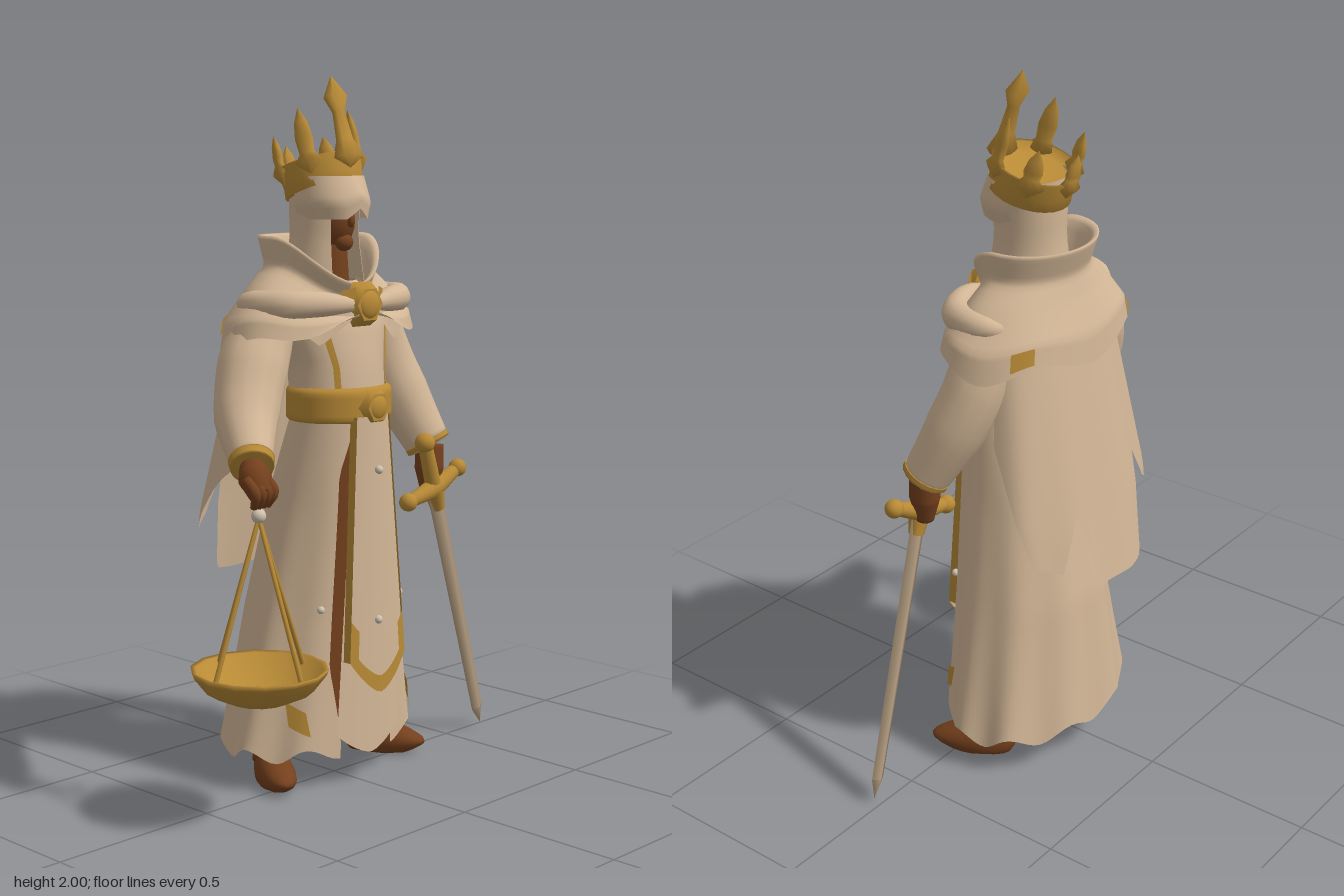
import * as THREE from 'three';
import { mergeVertices } from 'three/addons/utils/BufferGeometryUtils.js';

const mat = (name, color) => {
  const m = new THREE.MeshStandardMaterial({ color, side: THREE.DoubleSide });
  m.name = name;
  return m;
};
const CZ = -0.025; // body's sideways centre
const { sin, cos, abs, PI, max, min } = Math;
const clamp = THREE.MathUtils.clamp;

// Smooth surface from a function of (u, v)
function sheet(f, nu = 24, nv = 12) {
  const pos = [], idx = [];
  for (let j = 0; j <= nv; j++) for (let i = 0; i <= nu; i++) pos.push(...f(i / nu, j / nv));
  for (let j = 0; j < nv; j++) for (let i = 0; i < nu; i++) {
    const a = j * (nu + 1) + i, b = a + nu + 1;
    idx.push(a, b, a + 1, a + 1, b, b + 1);
  }
  const g = new THREE.BufferGeometry();
  g.setAttribute('position', new THREE.Float32BufferAttribute(pos, 3));
  g.setIndex(idx);
  const m = mergeVertices(g, 1e-4);
  m.computeVertexNormals();
  return m;
}

// Interpolates rows [key, a, b, ...] at a key
function at(rows, k) {
  let i = 0;
  while (i < rows.length - 2 && k > rows[i + 1][0]) i++;
  const p = rows[i], q = rows[i + 1];
  const t = clamp((k - p[0]) / (q[0] - p[0]), 0, 1);
  return p.slice(1).map((x, n) => x + (q[n + 1] - x) * t);
}

// Capped tube through points with varying radius
function limb(points, radii, sides = 14, steps = 18) {
  const c = new THREE.CatmullRomCurve3(points.map(p => new THREE.Vector3(...p)));
  const fr = c.computeFrenetFrames(steps, false);
  const rr = radii.map((r, i) => [i / (radii.length - 1), r]);
  return sheet((u, v) => {
    const k = Math.round(v * (steps + 2)), s = clamp(k - 1, 0, steps);
    const r = k === 0 || k === steps + 2 ? 0 : at(rr, s / steps)[0];
    return c.getPoint(s / steps)
      .addScaledVector(fr.normals[s], r * cos(u * 2 * PI))
      .addScaledVector(fr.binormals[s], r * sin(u * 2 * PI)).toArray();
  }, sides, steps + 2);
}

// Robe skirt: rows of height, centre x, depth radius, width radius
const SKIRT = [[0.1, -0.095, 0.215, 0.32], [0.5, -0.075, 0.2, 0.24], [0.8, -0.045, 0.175, 0.185], [1.08, 0, 0.122, 0.145]];
function skirtPoint(a, y, off = 0) {
  const [cx, rx, rz] = at(SKIRT, y);
  const f = 1 + 0.035 * cos(9 * a) * max(0, 1 - y);
  return [cx + (rx * f + off) * cos(a), y, CZ + (rz * f + off) * sin(a)];
}
const tabardHalf = y => 0.12 - 0.055 * (y - 0.27) / 0.8;

// Shoulder mantle and collar: rows of position, height, depth radius, width radius
const MANTLE = [[0, 1.26, 0.2, 0.335], [0.18, 1.33, 0.192, 0.32], [0.4, 1.42, 0.15, 0.24], [0.55, 1.475, 0.13, 0.175],
  [0.78, 1.56, 0.16, 0.188], [0.85, 1.555, 0.142, 0.165], [1, 1.45, 0.115, 0.12]];
function mantlePoint(a, v, off = 0) {
  const [y, rx, rz] = at(MANTLE, v), front = max(0, cos(a)) ** 2;
  const lobe = (1 - v) ** 4 * (0.07 * front + 0.02 * cos(5 * a));
  return [-0.085 + (rx + off) * cos(a), y + lobe - 0.13 * front * min(1, v * 1.3), CZ + (rz + off) * sin(a)];
}

export function createModel() {
  const root = new THREE.Group();
  const cream = mat('creamCloth', 0xd2b696), gold = mat('gold', 0xb88a36);
  const brown = mat('brownLeather', 0x74401d), steel = mat('blade', 0xb79f82), pale = mat('paleStud', 0xcfc3ae);
  const add = (name, geo, m, p, parent = root) => {
    const o = new THREE.Mesh(geo, m);
    o.name = name;
    if (p) o.position.set(...p);
    parent.add(o);
    return o;
  };
  const ball = (name, r, m, p, s = [1, 1, 1], parent = root) => {
    const o = add(name, new THREE.SphereGeometry(r, 18, 12), m, p, parent);
    o.scale.set(...s);
    return o;
  };

  // Skirt with one open front slit closing near the hem, and a closed lining
  add('skirt', sheet((u, v) => {
    const y = 0.1 + 0.98 * v, rz = at(SKIRT, y)[2], gap = 0.025 * clamp((y - 0.25) / 0.1, -1, 1) * clamp((1 - y) / 0.1, -1, 1);
    const a0 = Math.asin((tabardHalf(y) + gap) / rz), a1 = 2 * PI - Math.asin((tabardHalf(y) - 0.02) / rz);
    const a = a0 + u * (a1 - a0), p = skirtPoint(a, y);
    p[1] += (1 - v) ** 6 * 0.02 * cos(9 * a);
    return p;
  }, 80, 30), cream);
  add('skirtLining', sheet((u, v) => skirtPoint(u * 2 * PI, 0.13 + 0.91 * v, -0.014), 60, 14), brown);
  for (const s of [1, -1]) {
    add('hemPatch', sheet((u, v) => skirtPoint(s * (0.68 + 0.26 * u + 0.08 * v), 0.16 + 0.07 * v + 0.03 * u, 0.007), 8, 4), gold);
    ball('stud', 0.011, pale, skirtPoint(s * 0.72, 0.52, 0.005));
  }

  // Layered front panels with gold border
  const panel = (y0, half, x0, rise) => (u, v) => {
    const k = 2 * u - 1, b = y0 + rise * abs(k) ** 1.5, y = b + (1.06 - b) * v;
    return [x0 + 0.02 * (1 - v) - 0.014 * k * k, y, CZ + 0.005 + k * half(y)];
  };
  const tab = panel(0.27, tabardHalf, 0.143, 0.1);
  add('frontPanel', sheet(tab, 16, 16), cream);
  add('underPanel', sheet(panel(0.085, y => 0.135 - 0.1 * (y - 0.085), 0.112, 0.07), 16, 16), cream);
  const trim = (u0, u1, v0, v1) => add('panelTrim', sheet((u, v) => {
    const p = tab(u0 + (u1 - u0) * u, v0 + (v1 - v0) * v);
    p[0] += 0.006;
    return p;
  }, 16, 8), gold);
  trim(0, 1, 0, 0.06);
  trim(0, 0.13, 0.05, 0.17);
  trim(0.87, 1, 0.05, 0.17);
  for (const side of [0, 1]) add('panelEdge', sheet((u, v) => {
    const p = tab(side, v);
    p[0] += 0.006 - 0.026 * u;
    return p;
  }, 1, 12), gold);
  for (const y of [0.48, 0.91]) ball('stud', 0.012, pale, [0.16, y, -0.017]);

  // Torso, chest stripes, belt and buckle
  const TORSO = [[1.0, 0, 0.125, 0.145], [1.2, -0.02, 0.125, 0.15], [1.34, -0.05, 0.125, 0.2], [1.43, -0.07, 0.08, 0.11]];
  const torso = (a, y, off = 0) => {
    const [cx, rx, rz] = at(TORSO, y);
    return [cx + (rx + off) * cos(a), y, CZ + (rz + off) * sin(a)];
  };
  add('torso', sheet((u, v) => torso(u * 2 * PI, 1 + 0.43 * v), 32, 12), cream);
  for (const s of [1, -1])
    add('chestStripe', sheet((u, v) => torso(s * (0.62 + 0.13 * u), 1.12 + 0.2 * v, 0.006), 3, 8), gold);
  const beltRows = [[0, 1.04, 0], [0.15, 1.045, 0.016], [0.85, 1.13, 0.016], [1, 1.14, 0]];
  add('belt', sheet((u, v) => {
    const [y, o] = at(beltRows, v);
    const a = u * 2 * PI;
    return [-0.005 + (0.125 + o) * cos(a), y, CZ + (0.145 + o) * sin(a)];
  }, 40, 10), gold);
  const gem = (name, p, r) => {
    add(name, new THREE.CylinderGeometry(r * 0.7, r, 0.035, 6), gold, p).rotation.z = -PI / 2;
    ball(name + 'Boss', r * 0.6, gold, [p[0] + 0.008, p[1], p[2]], [0.5, 1, 1]);
  };
  gem('buckle', [0.135, 1.085, CZ], 0.062);
  gem('clasp', [0.1, 1.37, CZ], 0.072);

  // Mantle, its folds, chest flaps and gold corners
  add('mantle', sheet((u, v) => mantlePoint(u * 2 * PI, v), 48, 28), cream);
  for (const s of [1, -1]) {
    add('mantleFold', limb([[-0.2, 1.36, CZ + s * 0.18], [-0.1, 1.375, CZ + s * 0.255], [0.01, 1.375, CZ + s * 0.225], [0.065, 1.375, CZ + s * 0.13], [0.09, 1.37, CZ + s * 0.04]],
      [0.01, 0.035, 0.042, 0.035, 0.02]), cream);
    add('chestFlap', sheet((u, v) => [0.1 - 0.05 * u, 1.37 - 0.11 * v * (1 - abs(u - 0.6)), CZ + s * (0.03 + 0.15 * u + 0.03 * v)], 8, 6), cream);
    add('mantlePatch', sheet((u, v) => mantlePoint(s * (2.2 + 0.25 * u), 0.04 + 0.13 * v, 0.006), 8, 6), gold);
    add('collarPatch', sheet((u, v) => [0.105 - 0.02 * u, 1.385 + 0.035 * v - 0.01 * u, CZ + s * (0.045 + 0.04 * u)], 4, 3), gold);
  }

  // Cape hanging in pointed lobes: rows of angle in degrees and hem height
  const HEM = [[75, 0.98], [100, 0.86], [120, 0.73], [132, 0.77], [143, 0.88], [152, 0.58], [164, 0.57], [188, 0.58], [200, 0.82], [214, 0.66], [234, 0.7], [262, 1.05]];
  add('cape', sheet((u, v) => {
    const d = 75 + 187 * u, a = d * PI / 180, y0 = at(HEM, d)[0], y = 1.34 + (y0 - 1.34) * v;
    const t = (1.34 - y) / 0.77, f = 1 + 0.02 * t * cos(a * 9), flare = sin(a) > 0 ? 0.13 : 0.06;
    const back = max(0, -cos(a)) ** (sin(a) > 0 ? 0.75 : 0.55); // squared-off back
    return [-0.09 - (0.14 + 0.125 * t) * f * (cos(a) < 0 ? back : -cos(a)), y, CZ + (0.25 + flare * min(1, t * 1.4)) * f * sin(a)];
  }, 66, 16), cream);

  // Sleeves, cuffs and hands
  add('leftSleeve', limb([[-0.1, 1.33, 0.17], [-0.07, 1.2, 0.25], [-0.02, 1.08, 0.32], [0.1, 0.965, 0.415]], [0.09, 0.1, 0.092, 0.055]), cream);
  add('leftCuff', limb([[0.088, 0.977, 0.405], [0.105, 0.961, 0.418]], [0.064, 0.059], 18, 4), gold);
  add('rightSleeve', limb([[-0.09, 1.34, -0.22], [-0.08, 1.2, -0.28], [-0.04, 1.08, -0.325], [0.035, 0.925, -0.37]], [0.09, 0.09, 0.085, 0.066]), cream);
  add('rightCuff', limb([[0.027, 0.942, -0.365], [0.034, 0.928, -0.369]], [0.07, 0.069], 18, 4), gold);
  add('leftHand', limb([[0.1, 0.965, 0.415], [0.15, 0.94, 0.45], [0.18, 0.9, 0.46]], [0.032, 0.045, 0.03]), brown);
  add('rightHand', limb([[0.035, 0.93, -0.37], [0.04, 0.86, -0.365], [0.045, 0.79, -0.36]], [0.042, 0.043, 0.026]), brown);
  for (let i = 0; i < 4; i++) {
    const z = 0.425 + i * 0.022;
    add('leftFinger', limb([[0.16, 0.945, z], [0.195, 0.91, z], [0.175, 0.87, 0.45 + (z - 0.45) * 0.7]], [0.014, 0.014, 0.01], 8, 8), brown);
  }

  // Weighing pan on four cords
  const pan = [[0, 0.335], [0.08, 0.345], [0.145, 0.375], [0.18, 0.42], [0.186, 0.435], [0.172, 0.432], [0.135, 0.39], [0.07, 0.365], [0, 0.358]];
  add('pan', new THREE.LatheGeometry(pan.map(p => new THREE.Vector2(...p)), 14), gold, [0.17, 0, 0.457]);
  for (let i = 0; i < 4; i++) {
    const a = i * PI / 2, x = 0.17 + 0.163 * cos(a), z = 0.457 + 0.163 * sin(a);
    add('cord', limb([[0.17, 0.84, 0.457], [x, 0.41, z]], [0.006, 0.007], 6, 2), gold);
  }
  ball('hook', 0.02, pale, [0.17, 0.845, 0.457]);

  // Sword pointing down and outward, local -y toward the tip
  const sword = new THREE.Group();
  sword.name = 'sword';
  sword.position.set(0.07, 0.805, -0.352);
  sword.quaternion.setFromUnitVectors(new THREE.Vector3(0, -1, 0), new THREE.Vector3(-0.05, -0.795, -0.288).normalize());
  root.add(sword);
  add('blade', new THREE.CylinderGeometry(0.031, 0.024, 0.77, 4), steel, [0, -0.4, 0], sword).scale.x = 0.5;
  const tip = add('bladeTip', new THREE.ConeGeometry(0.024, 0.06, 4), steel, [0, -0.815, 0], sword);
  tip.rotation.x = PI;
  tip.scale.x = 0.5;
  add('guard', limb([[0, 0.01, -0.115], [0, 0, 0], [0, 0.01, 0.115]], [0.018, 0.03, 0.018]), gold, null, sword);
  for (const s of [1, -1]) ball('guardEnd', 0.027, gold, [0, 0.01, s * 0.115], [1, 1, 1], sword);
  add('grip', new THREE.CylinderGeometry(0.022, 0.025, 0.14, 12), gold, [0, 0.07, 0], sword);
  add('collet', new THREE.CylinderGeometry(0.03, 0.022, 0.06, 8), gold, [0, -0.04, 0], sword);
  ball('pommel', 0.03, gold, [0, 0.15, 0], [1, 1, 1], sword);

  // Head, hood and blindfold
  const HZ = -0.03;
  add('neck', new THREE.CylinderGeometry(0.05, 0.06, 0.16, 16), brown, [-0.05, 1.47, HZ]);
  ball('face', 0.08, brown, [-0.045, 1.6, HZ], [1, 1.1, 0.75]);
  ball('chin', 0.028, brown, [0.01, 1.54, HZ], [0.9, 0.9, 1]);
  ball('nose', 0.012, brown, [0.037, 1.6, HZ], [1, 1.6, 0.9]);
  const HOOD = [[1.4, 0.12, 0.115], [1.55, 0.098, 0.098], [1.64, 0.1, 0.1], [1.73, 0.1, 0.105]];
  add('hood', sheet((u, v) => {
    const y = 1.4 + 0.33 * v, a0 = 0.6, a = a0 + u * 2 * (PI - a0), [rx, rz] = at(HOOD, y);
    return [-0.068 + rx * cos(a), y, HZ + rz * sin(a)];
  }, 32, 10), cream);
  const BAND = [[0, 0.128, 0.095], [0.4, 0.132, 0.112], [1, 0.1, 0.106]];
  add('blindfold', sheet((u, v) => {
    const a = (u - 0.5) * 3.5, [rx, rz] = at(BAND, v), low = 1.605 + 0.03 * max(0, 1 - abs(u - 0.5) * 8);
    return [-0.055 + rx * cos(a), low + (1.725 - low) * v, HZ + rz * sin(a)];
  }, 32, 8), cream);

  // Crown leaning back: a tall front spike and slender leaf-shaped ones
  const crown = new THREE.Group();
  crown.name = 'crown';
  crown.position.set(-0.065, 1.685, HZ);
  crown.rotation.z = 0.3;
  root.add(crown);
  const band = [[0.104, -0.008], [0.115, -0.004], [0.113, 0.025], [0.122, 0.078], [0.112, 0.078], [0.1, 0.05], [0, 0.05]];
  add('crownBand', new THREE.LatheGeometry(band.map(p => new THREE.Vector2(...p)), 24), gold, null, crown);
  [0.297, 0.22, 0.175, 0.165, 0.175, 0.22].forEach((h, i) => {
    const a = i * PI / 3, b = 0.03;
    const prof = i ? [[0, b], [0.04, 0.065], [0.022, 0.09], [0.026, b + (h - b) * 0.55], [0.019, b + (h - b) * 0.78], [0, h]]
      : [[0, b], [0.055, 0.06], [0.03, 0.11], [0.022, 0.19], [0.042, 0.235], [0, h]];
    const o = add('crownSpike', new THREE.LatheGeometry(prof.map(p => new THREE.Vector2(...p)), 8), gold, [0.115 * cos(a), 0, 0.115 * sin(a)], crown);
    o.rotation.y = -a;
    o.scale.x = 0.6;
  });

  // Boots turned outward
  for (const s of [1, -1]) {
    const z = d => CZ + s * d;
    add('bootShaft', limb([[-0.07, 0.45, z(0.13)], [-0.08, 0.2, z(0.18)], [-0.09, 0.05, z(0.2)]], [0.065, 0.055, 0.05]), brown);
    const g = new THREE.SphereGeometry(1, 20, 14);
    g.scale(0.125, 0.06, 0.054);
    const p = g.attributes.position;
    for (let i = 0; i < p.count; i++) p.setY(i, max(p.getY(i) * (1 - 4 * p.getX(i)), -0.035));
    g.computeVertexNormals();
    add('bootFoot', g, brown, [-0.035, 0.035, z(0.23)]).rotation.y = -s * 0.5;
  }
  return root;
}
